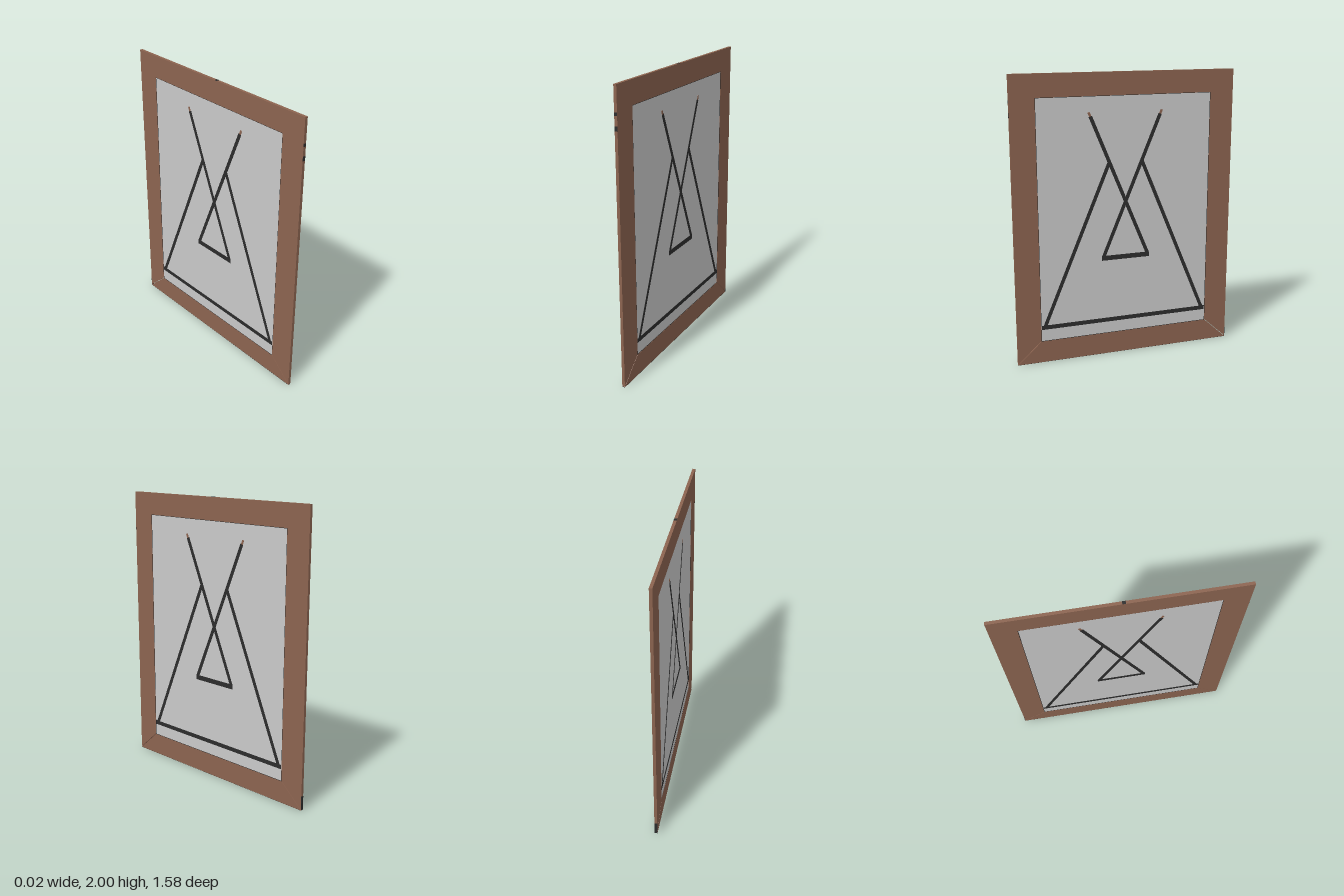
import * as THREE from 'three';

const W = 0.79, H = 2;                 // frame half width (z) and height
const IW = 0.62, Y0 = 0.155, Y1 = 1.845; // opening
const T = 0.01;                        // half thickness (x)

export function createModel() {
  const group = new THREE.Group();
  const material = (name, color) => {
    const m = new THREE.MeshStandardMaterial({ color });
    m.name = name;
    return m;
  };
  const wood = material('brown wood', 0x8c6450);
  const paper = material('pale grey panel', 0xcacaca);
  const ink = material('charcoal', 0x2c2c2c);

  const box = (name, mat, sx, sy, sz, x, y, z, angle = 0) => {
    const mesh = new THREE.Mesh(new THREE.BoxGeometry(sx, sy, sz), mat);
    mesh.name = name;
    mesh.position.set(x, y, z);
    mesh.rotation.x = angle;
    group.add(mesh);
  };

  // Slab drawn in (z, y) and extruded through the thickness
  const slab = (name, points) => {
    const shape = new THREE.Shape(points.map(([z, y]) => new THREE.Vector2(-z, y)));
    const geo = new THREE.ExtrudeGeometry(shape, { depth: 2 * T, bevelEnabled: false });
    geo.translate(0, 0, -T);
    geo.rotateY(Math.PI / 2);
    const mesh = new THREE.Mesh(geo, wood);
    mesh.name = name;
    group.add(mesh);
  };

  // Frame: upper three sides in one piece, mitred bottom rail with a hairline gap
  const g = 0.005;
  slab('frameSidesAndTop', [
    [W, g], [W, H], [-W, H], [-W, g], [-IW, Y0 + g],
    [-IW, Y1], [IW, Y1], [IW, Y0 + g],
  ]);
  slab('frameBottomRail', [[W, 0], [IW, Y0], [-IW, Y0], [-W, 0]]);

  // Panel inside the opening, with a narrow dark seam around it
  box('panel', paper, 0.016, Y1 - Y0, 2 * IW, 0, (Y0 + Y1) / 2, 0);
  for (const s of [-1, 1]) box('sideSeam', ink, 0.018, Y1 - Y0, 0.003, 0, (Y0 + Y1) / 2, s * (IW - 0.0015));
  for (const y of [Y0 + 0.0015, Y1 - 0.0015]) box('crossSeam', ink, 0.018, 0.003, 2 * IW, 0, y, 0);

  // Line drawing, showing on both faces of the panel
  const stroke = (name, [z0, y0], [z1, y1], width, mat = ink) => {
    const dz = z1 - z0, dy = y1 - y0;
    box(name, mat, 0.019, Math.hypot(dz, dy), width, 0, (y0 + y1) / 2, (z0 + z1) / 2, Math.atan2(dz, dy));
  };
  for (const s of [-1, 1]) {
    stroke('crossingLine', [s * 0.248, 1.71], [s * -0.165, 0.72], 0.025);
    stroke('lineTip', [s * 0.26, 1.738], [s * 0.248, 1.71], 0.016, wood);
    stroke('outerLine', [s * 0.115, 1.40], [s * 0.592, 0.26], 0.025);
  }
  box('innerBase', ink, 0.019, 0.034, 0.35, 0, 0.717, 0);
  box('outerBase', ink, 0.019, 0.03, 1.228, 0, 0.256, 0);

  // Dark marks on the outer edges
  const e = 0.002;
  box('bottomEdge', ink, 2 * T, e, 2 * W, 0, e / 2 - 0.001, 0);
  box('rearEdgeFoot', ink, 2 * T, 0.1, e, 0, 0.05, -W);
  box('topEdgeMark', ink, 2 * T, e, 0.022, 0, H, 0.016);
  box('frontEdgeMark', ink, 2 * T, 0.03, e, 0, 1.738, W);
  box('frontEdgeMark', ink, 2 * T, 0.02, e, 0, 1.825, W);

  return group;
}
